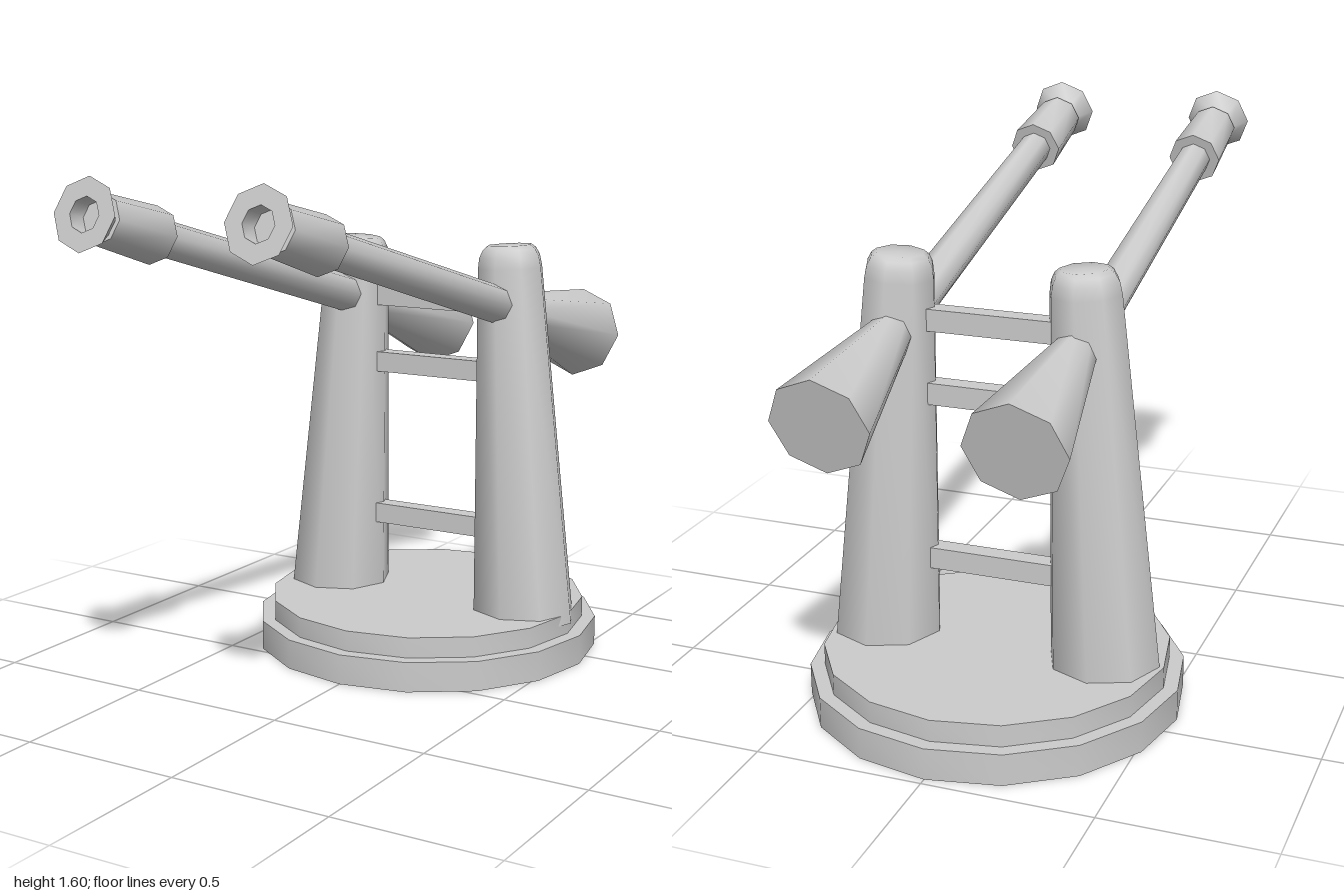
import * as THREE from 'three';
import { toCreasedNormals } from 'three/addons/utils/BufferGeometryUtils.js';

const GREY = new THREE.MeshStandardMaterial({ color: 0xcccccc });
const CENTRE_Z = -0.42;

function part(name, geometry) {
  const mesh = new THREE.Mesh(geometry, GREY);
  mesh.name = name;
  return mesh;
}

// Turned part from [radius, height] pairs, listed from bottom to top
function turned(name, profile, sides = 8) {
  const points = profile.map(([r, h]) => new THREE.Vector2(r, h));
  return part(name, toCreasedNormals(new THREE.LatheGeometry(points, sides), 0.9));
}

// Gun lying along +y, with its pivot at the origin
function createGun() {
  const gun = new THREE.Group();
  gun.add(
    turned('barrel', [[0, 0], [0.06, 0], [0.052, 1.16], [0, 1.16]]),
    turned('sleeve', [[0, 1.139], [0.083, 1.139], [0.072, 1.384], [0, 1.384]]),
    // Flared muzzle with a recessed bore
    turned('muzzle', [[0, 1.38], [0.056, 1.38], [0.103, 1.443], [0.049, 1.443], [0.049, 1.386], [0, 1.386]]),
    turned('rearCone', [[0, -0.559], [0.148, -0.559], [0.055, -0.03], [0, -0.03]])
  );
  return gun;
}

export function createModel() {
  const model = new THREE.Group();
  model.name = 'twinGunTurret';

  // Two-step round base
  const base = turned('base', [[0, 0], [0.558, 0], [0.558, 0.095], [0, 0.095]], 16);
  const platform = turned('platform', [[0, 0.09], [0.515, 0.09], [0.515, 0.16], [0, 0.16]], 16);
  base.position.z = platform.position.z = CENTRE_Z;
  model.add(base, platform);

  const upper = new THREE.Group();
  upper.name = 'upperWorks';
  upper.position.set(0.01, 0, CENTRE_Z);
  model.add(upper);

  for (const side of [-1, 1]) {
    const label = side > 0 ? 'left' : 'right';

    // Tapered column leaning inwards, with a rounded top
    const column = turned(label + 'Column', [
      [0, 0], [0.169, 0], [0.106, 1.14], [0.1, 1.175], [0.088, 1.198], [0.072, 1.21], [0, 1.21]
    ]);
    column.position.set(side * 0.347, 0.12, 0);
    column.rotation.z = side * 0.0595;
    upper.add(column);

    // Gun raised 15 degrees towards the front
    const gun = createGun();
    gun.name = label + 'Gun';
    gun.position.set(side * 0.275, 1.127, 0);
    gun.rotation.x = THREE.MathUtils.degToRad(75);
    upper.add(gun);
  }

  // Crossbars between the columns
  for (const y of [0.41, 0.922, 1.142]) {
    const bar = part('crossbar', new THREE.BoxGeometry(0.5, 0.065, 0.06));
    bar.position.y = y;
    upper.add(bar);
  }

  return model;
}
